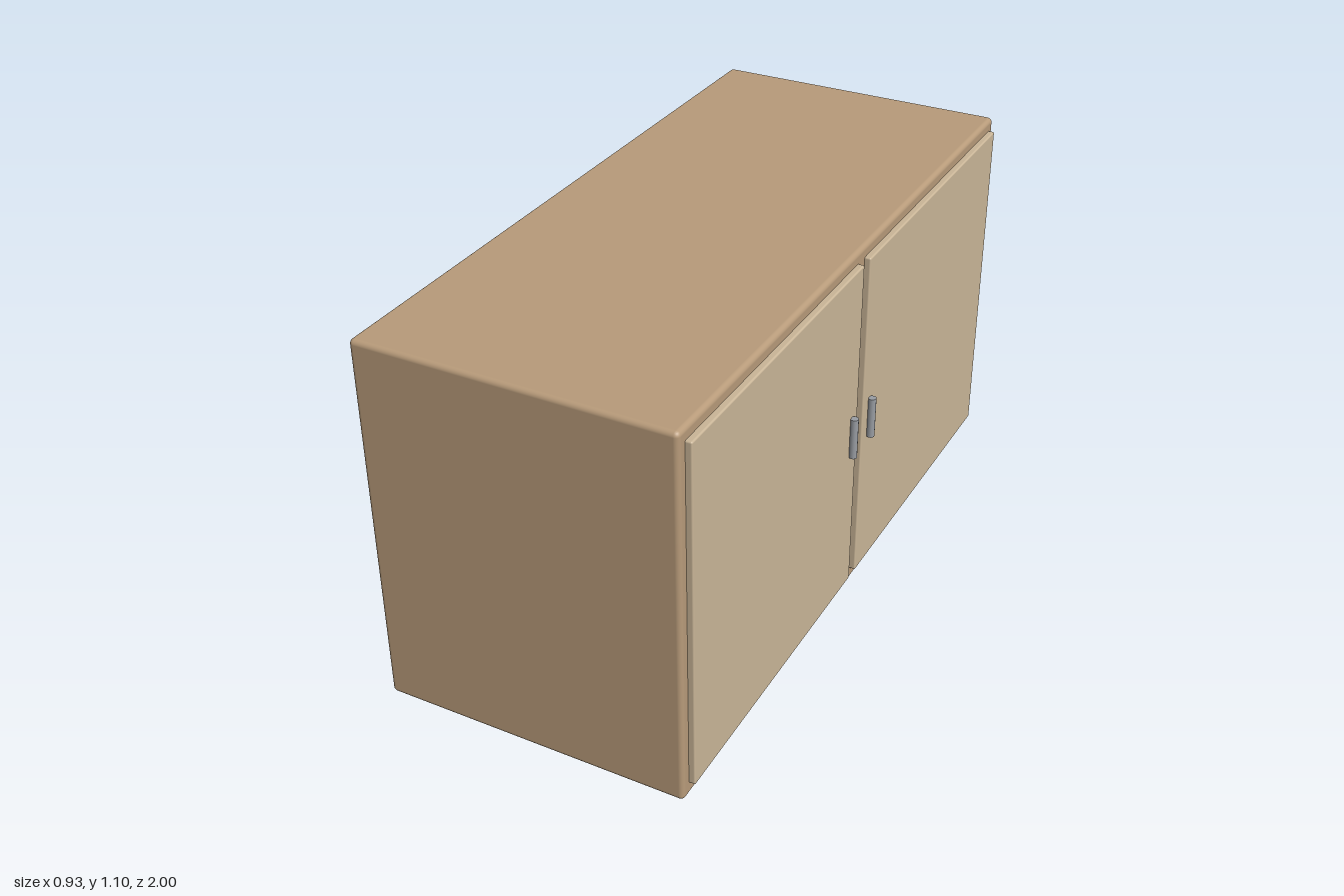
import * as THREE from 'three';
import { RoundedBoxGeometry } from 'three/addons/geometries/RoundedBoxGeometry.js';

const paint = (color) => new THREE.MeshStandardMaterial({ color });

export function createModel() {
  const model = new THREE.Group();
  const wood = paint(0xb89b7a);
  const paleWood = paint(0xcab698);
  const metal = paint(0x9a9ea4);

  const add = (name, geometry, material, x, y, z) => {
    const mesh = new THREE.Mesh(geometry, material);
    mesh.name = name;
    mesh.position.set(x, y, z);
    model.add(mesh);
  };

  // Cabinet carcass with softly rounded edges
  add('cabinetBody', new RoundedBoxGeometry(0.895, 1.097, 2, 3, 0.014), wood, -0.0195, 0.5485, 0);

  // Pair of doors and upright bar handles, mirrored in z
  const door = new RoundedBoxGeometry(0.036, 1.023, 0.95, 2, 0.005);
  const handle = new THREE.CylinderGeometry(0.0117, 0.0117, 0.125, 12);
  for (const [side, s] of [['left', -1], ['right', 1]]) {
    add(side + 'Door', door, paleWood, 0.428, 0.552, s * 0.495);
    add(side + 'Handle', handle, metal, 0.4553, 0.552, s * 0.061);
  }
  return model;
}
